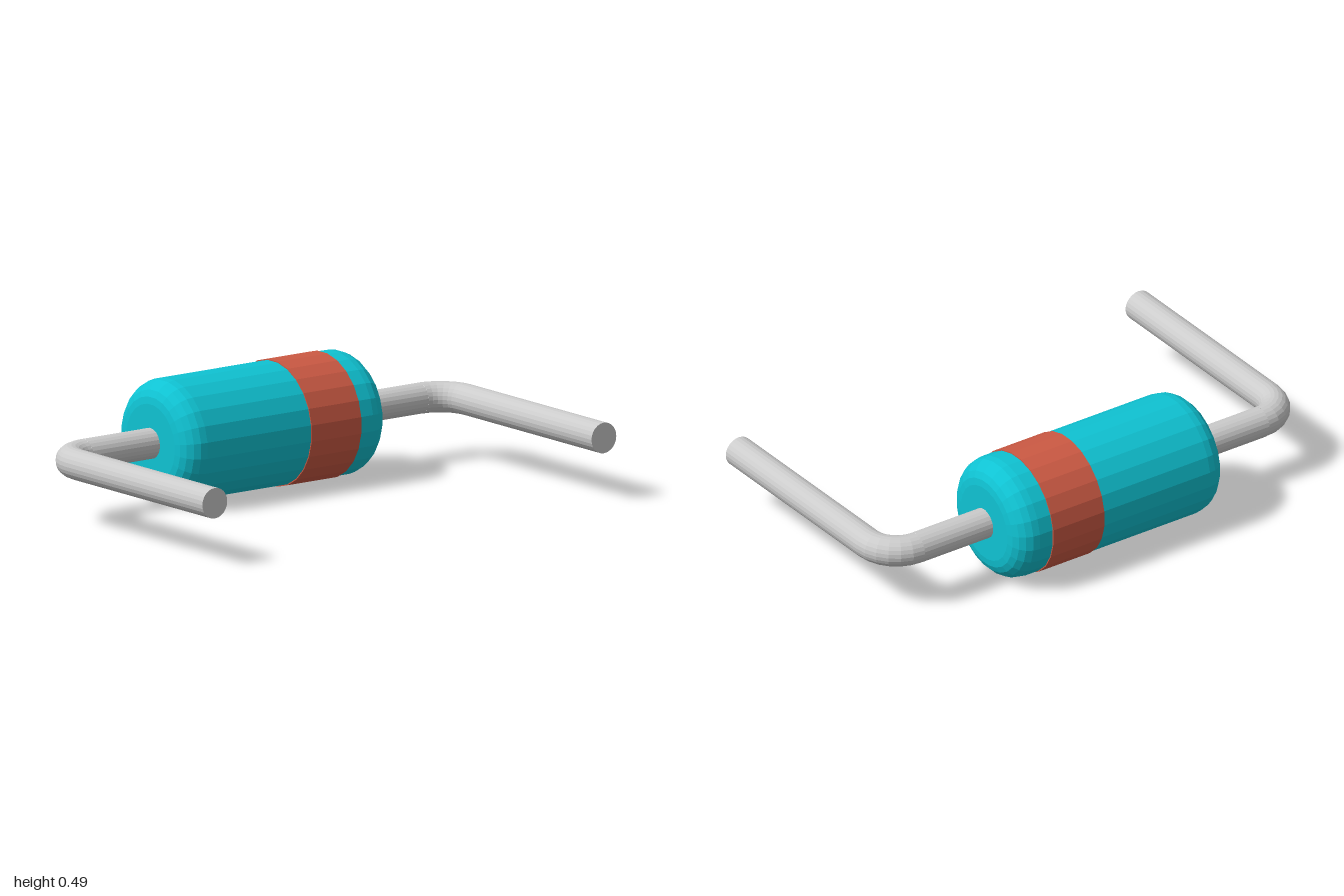
import * as THREE from 'three';

const SIDES = 24;
const AXIS_Z = -0.37, AXIS_Y = 0.247; // centre line of the body
const WIRE = 0.06, BEND = 0.13, LEG_X = 0.94, LEG_END = 0.616;

const material = (color) => new THREE.MeshStandardMaterial({ color, flatShading: true });

function addMesh(parent, name, geometry, mat) {
  const mesh = new THREE.Mesh(geometry, mat);
  mesh.name = name;
  parent.add(mesh);
  return mesh;
}

// Round bar lying along x, turned so that a flat facet faces up
function barX(radius, length, sides, open = false) {
  return new THREE.CylinderGeometry(radius, radius, length, sides, 1, open)
    .rotateY(Math.PI / sides)
    .rotateZ(-Math.PI / 2);
}

export function createModel() {
  const model = new THREE.Group();
  model.name = 'axialComponent';
  const grey = material(0xcccccc);
  const teal = material(0x0fc3d3);
  const red = material(0xcd5a44);

  // Body: cylinder with rounded ends
  const half = 0.49, radius = 0.243, round = 0.09, steps = 5;
  const profile = [new THREE.Vector2(0, -half)];
  for (const end of [-1, 1]) {
    for (let i = 0; i <= steps; i++) {
      const t = (end < 0 ? i : steps - i) / steps * Math.PI / 2;
      profile.push(new THREE.Vector2(
        radius - round + round * Math.sin(t),
        end * (half - round + round * Math.cos(t))));
    }
  }
  profile.push(new THREE.Vector2(0, half));
  const bodyGeometry = new THREE.LatheGeometry(profile, SIDES)
    .rotateY(Math.PI / SIDES)
    .rotateZ(-Math.PI / 2);
  addMesh(model, 'body', bodyGeometry, teal).position.set(0, AXIS_Y, AXIS_Z);

  // Polarity band, slightly proud of the body
  addMesh(model, 'band', barX(0.247, 0.24, SIDES), red).position.set(0.22, AXIS_Y, AXIS_Z);

  // Leads: straight from the body, quarter bend, straight forward leg
  const bendX = LEG_X - BEND, bendZ = AXIS_Z + BEND;
  for (const side of [1, -1]) {
    const lead = new THREE.Group();
    lead.name = side > 0 ? 'leftLead' : 'rightLead';
    lead.position.y = AXIS_Y;

    const inner = 0.45;
    addMesh(lead, 'leadShoulder', barX(WIRE, bendX - inner, SIDES, true), grey)
      .position.set(side * (bendX + inner) / 2, 0, AXIS_Z);

    const bend = new THREE.TorusGeometry(BEND, WIRE, SIDES, 6, Math.PI / 2).rotateX(-Math.PI / 2);
    if (side < 0) bend.rotateY(Math.PI / 2);
    addMesh(lead, 'leadBend', bend, grey).position.set(side * bendX, 0, bendZ);

    const leg = new THREE.CylinderGeometry(WIRE, WIRE, LEG_END - bendZ, SIDES).rotateX(Math.PI / 2);
    addMesh(lead, 'leadLeg', leg, grey).position.set(side * LEG_X, 0, (LEG_END + bendZ) / 2);

    model.add(lead);
  }
  return model;
}
